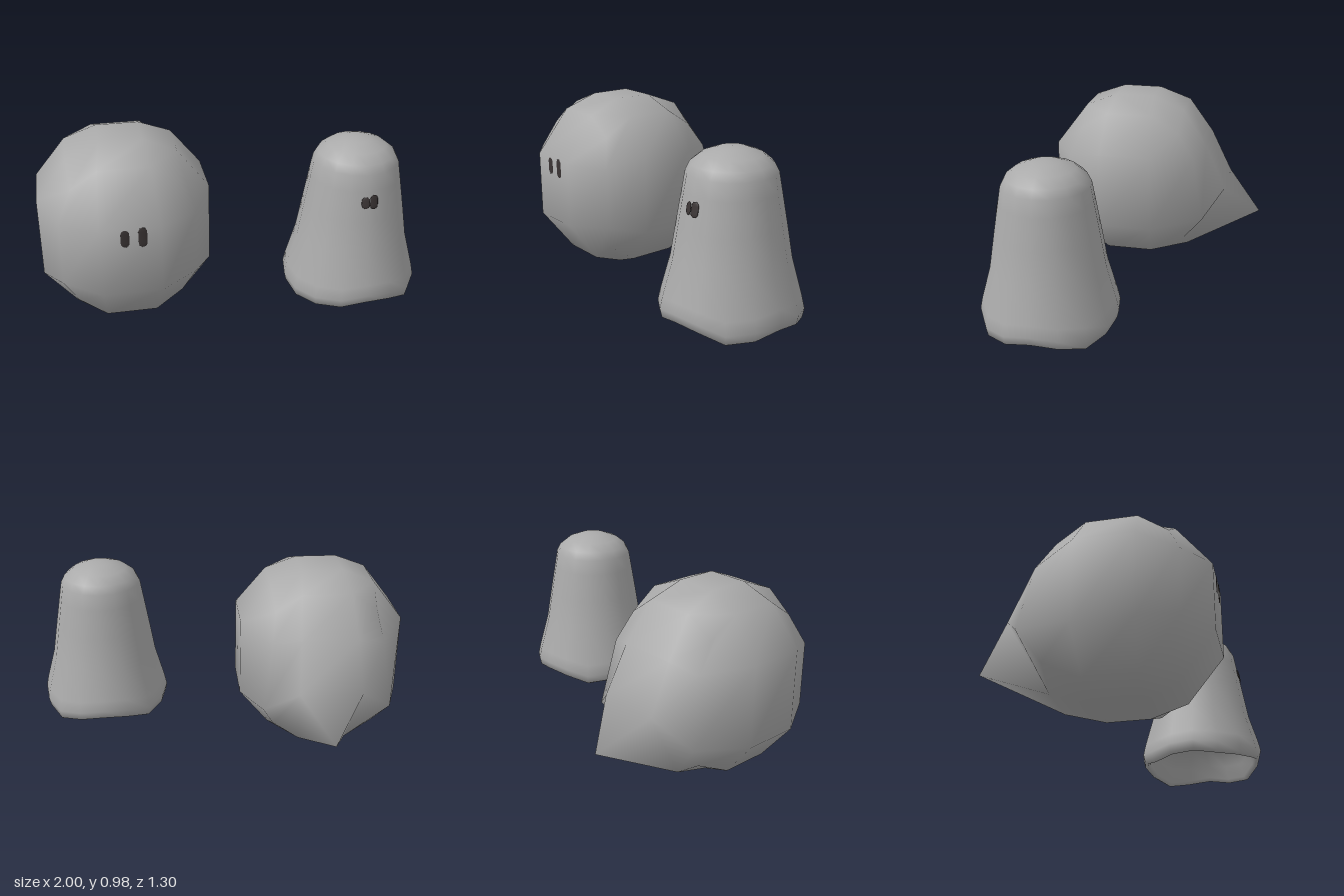
import * as THREE from 'three';
import { mergeVertices } from 'three/addons/utils/BufferGeometryUtils.js';

const sheet = new THREE.MeshStandardMaterial({ color: 0xaaaaaa });
sheet.name = 'sheet grey';
const dark = new THREE.MeshStandardMaterial({ color: 0x3a3434 });
dark.name = 'eye dark';

function mesh(name, geometry, material) {
  const m = new THREE.Mesh(geometry, material);
  m.name = name;
  return m;
}

// Weld the corners and give the surface soft normals, each face weighted by its corner angle
function smooth(geometry) {
  geometry.deleteAttribute('normal');
  geometry.deleteAttribute('uv');
  const g = mergeVertices(geometry, 1e-4);
  const pos = g.attributes.position, index = g.index;
  const normals = Array.from({ length: pos.count }, () => new THREE.Vector3());
  for (let i = 0; i < index.count; i += 3) {
    const ids = [0, 1, 2].map(k => index.getX(i + k));
    const p = ids.map(id => new THREE.Vector3().fromBufferAttribute(pos, id));
    const face = new THREE.Triangle(...p).getNormal(new THREE.Vector3());
    ids.forEach((id, k) => {
      const e1 = p[(k + 1) % 3].clone().sub(p[k]), e2 = p[(k + 2) % 3].clone().sub(p[k]);
      normals[id].addScaledVector(face, e1.angleTo(e2));
    });
  }
  const flat = normals.flatMap(n => n.normalize().toArray());
  g.setAttribute('normal', new THREE.Float32BufferAttribute(flat, 3));
  return g;
}

// Thin upright oval plate
function eye(name, x, y, z, width, height, tilt = 0, turn = 0) {
  const m = mesh(name, new THREE.CapsuleGeometry(width / 2, height - width, 4, 10), dark);
  m.scale.z = 0.008 / width;
  m.position.set(x, y, z);
  m.rotation.set(tilt, turn, 0);
  return m;
}

// Place a point of a 3x3x3 grid box on the round body: faces, edges and corners
function roundPoint(x, y, z) {
  const ox = Math.abs(x) > 1, oy = Math.abs(y) > 1, oz = Math.abs(z) > 1;
  const back = z < -1, low = y < 0;
  let p;
  if (ox && oy && oz) p = [0.27, 0.32, back && low ? 0.33 : 0.28];
  else if (ox && oy) p = [0.28, 0.42, 0.13];
  else if (ox && oz && back) p = low ? [0.34, 0.17, 0.44] : [0.295, 0.18, 0.375];
  else if (ox && oz) p = [0.34, 0.17, 0.34];
  else if (oy && oz) p = [0.13, 0.42, back && low ? 0.33 : 0.29];
  else if (ox) p = [0.44, 0.215, 0.15];
  else if (oy) p = [0.11, 0.49, 0.11];
  else if (back) p = low ? [0.165, 0.03, 0.55] : [0.15, 0.22, 0.43];
  else p = [0.15, 0.18, 0.47];
  return [Math.sign(x) * p[0], Math.sign(y) * p[1], Math.sign(z) * p[2]];
}

// Round body, with one rear patch drawn out to a pointed tail
function roundBody() {
  const pos = new THREE.BoxGeometry(3, 3, 3, 3, 3, 3).toNonIndexed().attributes.position;
  const out = [];
  for (let i = 0; i < pos.count; i += 3) {
    const tri = [0, 1, 2].map(k => [pos.getX(i + k), pos.getY(i + k), pos.getZ(i + k)]);
    const isTail = tri.every(([x, y, z]) => z < -1 && y < 0 && Math.abs(x) < 1);
    if (!isTail) tri.forEach(p => out.push(...roundPoint(...p)));
  }
  const tip = [0.005, -0.22, -0.75];
  const rim = [[-0.5, -0.5], [0.5, -0.5], [0.5, -1.5], [-0.5, -1.5]].map(([x, y]) => roundPoint(x, y, -1.5));
  rim.forEach((p, i) => out.push(...p, ...rim[(i + 1) % 4], ...tip));
  const g = new THREE.BufferGeometry();
  g.setAttribute('position', new THREE.Float32BufferAttribute(out, 3));
  return smooth(g);
}

// Hem height at each of the 16 sides, from the front round by the left
const HEM = [0.135, 0.125, 0.085, 0.095, 0.12, 0.1, 0.075, 0.1, 0.12, 0.11, 0.08, 0.095, 0.1, 0.085, 0.09, 0.105];

// Draped body: shallow hollow down to the hem, then the outside up to the crown
function drapedBody() {
  const profile = [
    [0, 0.34], [0.14, 0.325], [0.23, 0.28], [0.295, 0.2],
    [0.315, 0.125], [0.33, 0.105], [0.348, 0.115], [0.358, 0.16], [0.345, 0.22], [0.295, 0.4],
    [0.265, 0.58], [0.237, 0.74], [0.222, 0.825], [0.2, 0.868], [0.15, 0.908], [0.07, 0.938], [0, 0.945],
  ].map(([r, y]) => new THREE.Vector2(r, y));
  const g = new THREE.LatheGeometry(profile, 16);
  const pos = g.attributes.position;
  // Soft folds that follow the hem and fade upward
  for (let i = 0; i < pos.count; i++) {
    const x = pos.getX(i), y = pos.getY(i), z = pos.getZ(i);
    if (Math.hypot(x, z) < 0.01) continue;
    const side = (Math.round(Math.atan2(x, z) / (Math.PI / 8)) + 16) % 16;
    const shift = (HEM[side] - 0.105) * (1 - THREE.MathUtils.smoothstep(y, 0.1, 0.5));
    const flare = 1 - 0.5 * shift;
    pos.setXYZ(i, x * flare, y + shift, z * flare);
  }
  return smooth(g);
}

export function createModel() {
  const model = new THREE.Group();
  model.name = 'twoGhosts';

  const round = new THREE.Group();
  round.name = 'roundGhost';
  round.position.set(-0.56, 0.49, 0.1);
  round.add(
    mesh('roundBody', roundBody(), sheet),
    eye('roundRightEye', -0.027, 0.132, 0.469, 0.047, 0.095),
    eye('roundLeftEye', 0.06, 0.133, 0.469, 0.047, 0.108),
  );

  const draped = new THREE.Group();
  draped.name = 'drapedGhost';
  draped.position.set(0.645, 0, 0.302);
  draped.add(
    mesh('drapedBody', drapedBody(), sheet),
    eye('drapedRightEye', -0.017, 0.685, 0.248, 0.042, 0.062, -0.18, -0.2),
    eye('drapedLeftEye', 0.026, 0.687, 0.247, 0.044, 0.076, -0.18, 0.2),
  );

  model.add(round, draped);
  return model;
}
